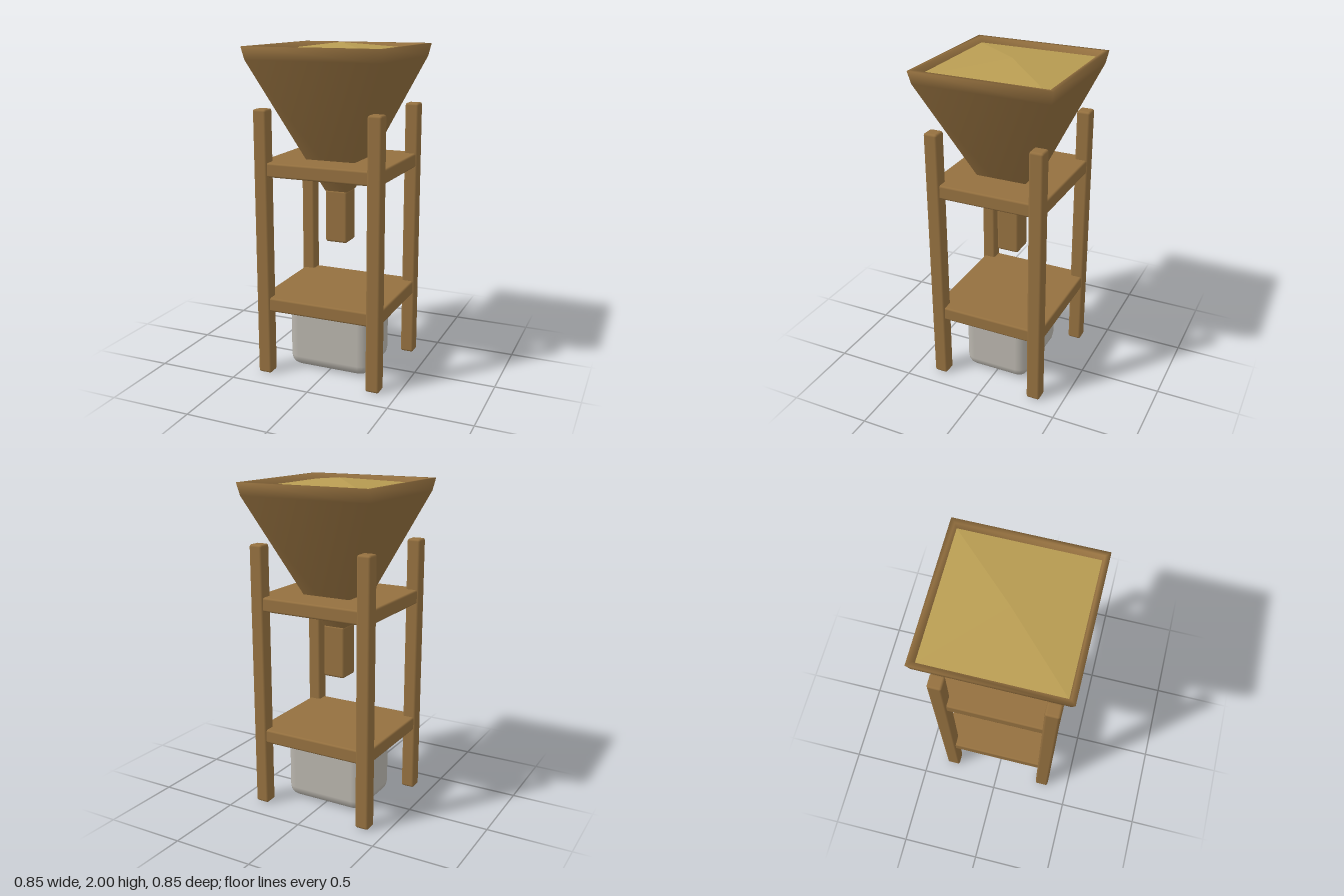
import * as THREE from 'three';
import { RoundedBoxGeometry } from 'three/addons/geometries/RoundedBoxGeometry.js';

const wood = new THREE.MeshStandardMaterial({ color: 0x94703f });
const hopperWood = new THREE.MeshStandardMaterial({ color: 0x94703f, side: THREE.DoubleSide });
const grainColor = new THREE.MeshStandardMaterial({ color: 0xb89c52, flatShading: true });
const cloth = new THREE.MeshStandardMaterial({ color: 0xb8b4ac });

export function createModel() {
  const group = new THREE.Group();

  function add(name, geometry, material, x = 0, y = 0, z = 0) {
    const mesh = new THREE.Mesh(geometry, material);
    mesh.name = name;
    mesh.position.set(x, y, z);
    group.add(mesh);
    return mesh;
  }

  // Rounded block spanning the heights y0 to y1
  function block(name, w, y0, y1, d, radius, material, x = 0, z = 0) {
    const geometry = new RoundedBoxGeometry(w, y1 - y0, d, 2, radius);
    return add(name, geometry, material, x, (y0 + y1) / 2, z);
  }

  // Four corner posts
  for (const sx of [-1, 1]) {
    for (const sz of [-1, 1]) {
      const name = (sz > 0 ? 'front' : 'back') + (sx > 0 ? 'Left' : 'Right') + 'Post';
      block(name, 0.085, 0, 1.63, 0.085, 0.014, wood, sx * 0.353, sz * 0.321);
    }
  }

  // Shelves held between the posts
  block('lowerShelf', 0.77, 0.405, 0.49, 0.71, 0.012, wood);
  block('upperShelf', 0.77, 1.235, 1.32, 0.71, 0.012, wood);

  // Square funnel: profile given as half-widths, turned in four sides
  const profile = [
    [0.07, 1.12], [0.41, 1.91], [0.425, 1.985], [0.398, 1.985], [0.385, 1.94],
  ].map(([half, y]) => new THREE.Vector2(half * Math.SQRT2, y));
  add('hopper', new THREE.LatheGeometry(profile, 4, Math.PI / 4), hopperWood);

  // Shallow heap filling the funnel
  const heap = new THREE.ConeGeometry(0.388 * Math.SQRT2, 0.05, 4, 1, false, Math.PI / 4);
  add('grainHeap', heap, grainColor, 0, 1.975, 0);

  // Outlet under the funnel
  block('spout', 0.14, 0.8, 1.125, 0.14, 0.014, wood);

  // Soft sack under the lower shelf
  block('sack', 0.53, 0.003, 0.43, 0.42, 0.068, cloth);

  return group;
}
